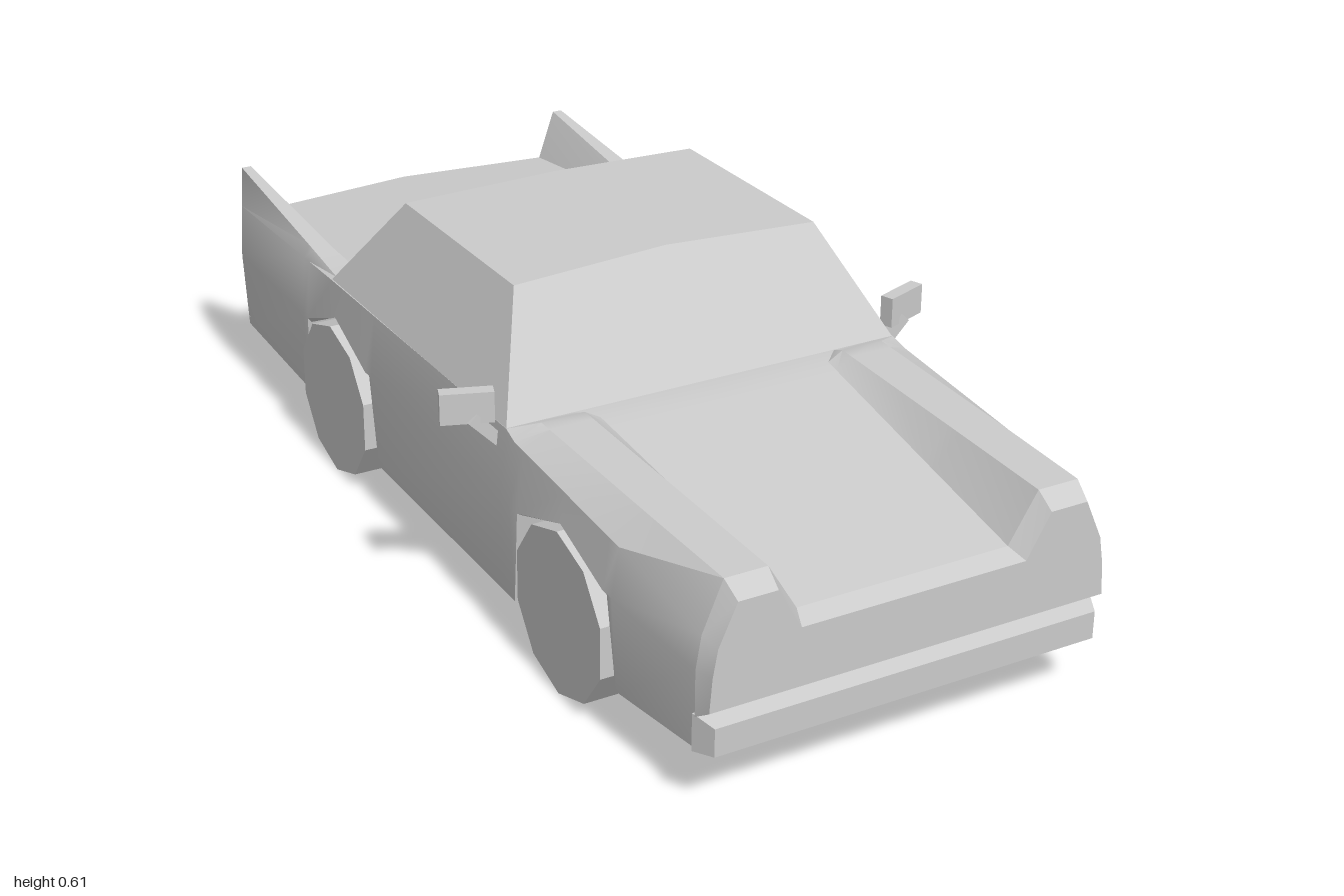
import * as THREE from 'three';
import { toCreasedNormals } from 'three/addons/utils/BufferGeometryUtils.js';
import { ConvexGeometry } from 'three/addons/geometries/ConvexGeometry.js';

const { lerp } = THREE.MathUtils;

// Lofts mirrored half-sections. Each section lists [x, y, z] from the bottom
// centre, round the +x side, to the top centre; sections run front to back.
function loft(sections, crease = 0.45) {
  const pos = [];
  const tri = (a, b, c) => pos.push(...a, ...b, ...c);
  const flip = ([x, y, z]) => [-x, y, z];
  const both = (a, b, c) => { tri(a, b, c); tri(flip(a), flip(c), flip(b)); };
  for (let i = 0; i + 1 < sections.length; i++) {
    const f = sections[i], r = sections[i + 1];
    for (let j = 0; j + 1 < f.length; j++) {
      both(f[j], r[j], f[j + 1]);
      both(f[j + 1], r[j], r[j + 1]);
    }
  }
  const cap = (s, back) => {
    const outline = s.map(p => new THREE.Vector2(p[0], p[1]));
    for (const [a, b, c] of THREE.ShapeUtils.triangulateShape(outline, [])) {
      if (back) both(s[a], s[c], s[b]); else both(s[a], s[b], s[c]);
    }
  };
  cap(sections[0], false);
  cap(sections[sections.length - 1], true);
  const g = new THREE.BufferGeometry();
  g.setAttribute('position', new THREE.Float32BufferAttribute(pos, 3));
  g.computeVertexNormals();
  return toCreasedNormals(g, crease);
}

// Linear lookup in rows [z, value] ordered from front to back
function lookup(rows, z, mix) {
  let i = 0;
  while (i < rows.length - 2 && z < rows[i + 1][0]) i++;
  const [a, b] = [rows[i], rows[i + 1]];
  return mix(a[1], b[1], THREE.MathUtils.clamp((z - a[0]) / (b[0] - a[0]), 0, 1));
}
const mixPoints = (a, b, t) => a.map((p, i) => [lerp(p[0], b[i][0], t), lerp(p[1], b[i][1], t)]);

// Waist, shoulder, fender outer, fender inner, hood/deck edge, centre
const upper = [
  [0.965, [[0.388, 0.25], [0.378, 0.31], [0.34, 0.4], [0.26, 0.4], [0.205, 0.31], [0, 0.31]]],
  [0.74, [[0.412, 0.27], [0.398, 0.36], [0.345, 0.406], [0.262, 0.406], [0.215, 0.345], [0, 0.345]]],
  [0.38, [[0.415, 0.27], [0.402, 0.39], [0.35, 0.415], [0.265, 0.415], [0.235, 0.398], [0, 0.398]]],
  [0.345, [[0.415, 0.27], [0.4, 0.4], [0.36, 0.4], [0.27, 0.4], [0.235, 0.4], [0, 0.4]]],
  [-0.41, [[0.41, 0.27], [0.4, 0.395], [0.39, 0.4], [0.345, 0.4], [0.34, 0.4], [0, 0.4]]],
  [-0.905, [[0.402, 0.27], [0.395, 0.38], [0.38, 0.455], [0.36, 0.455], [0.315, 0.36], [0, 0.36]]],
];
const floorLine = [[0.965, 0.1], [0.74, 0.092], [0.38, 0.08], [-0.21, 0.08], [-0.55, 0.098], [-0.905, 0.11]];
const sill = [
  [0.965, 0.1], [0.74, 0.092], [0.71, 0.26], [0.56, 0.32], [0.41, 0.265], [0.38, 0.08],
  [-0.21, 0.08], [-0.24, 0.265], [-0.39, 0.325], [-0.53, 0.26], [-0.555, 0.098], [-0.905, 0.11],
];

// One body section, with the wheel arch stepped up into its lower corner
function bodySection(z) {
  const low = lookup(floorLine, z, lerp);
  const arch = lookup(sill, z, lerp);
  const top = lookup(upper, z, mixPoints);
  const [wx, wy] = top[0];
  top[0] = [arch > wy ? wx - 0.004 : wx, Math.max(wy, arch)];
  return [[0, low], [0.3, low], [0.3, arch], [wx - 0.008, arch], ...top].map(p => [...p, z]);
}

export function createModel() {
  const car = new THREE.Group();
  car.name = 'car';
  const grey = new THREE.MeshStandardMaterial({ color: 0xcccccc });
  const flat = new THREE.MeshStandardMaterial({ color: 0xcccccc, flatShading: true });
  const add = (name, geometry, material = grey, parent = car) => {
    const mesh = new THREE.Mesh(geometry, material);
    mesh.name = name;
    parent.add(mesh);
    return mesh;
  };

  // Body shell: the tail bows out in the middle, the fins lean back
  const stations = [...new Set([...upper, ...sill].map(r => r[0]))].sort((a, b) => b - a);
  const shell = stations.map(bodySection);
  shell[shell.length - 1].forEach(p => {
    p[2] = p[1] > 0.42 ? -0.932 : -0.95 + 0.045 * p[0] / 0.4;
  });
  add('body', loft(shell));

  // Nose panel, undercut above the bumper
  const noseBack = [[0, 0.165], [0.388, 0.165], ...upper[0][1]].map(p => [...p, 0.965]);
  const noseFront = [[0, 0.188], [0.383, 0.188], [0.378, 0.25], [0.369, 0.3],
    [0.335, 0.375], [0.262, 0.375], [0.217, 0.296], [0, 0.296]].map(p => [...p, 1]);
  add('nosePanel', loft([noseFront, noseBack], 0.3));

  // Bumpers
  const bar = (w, y0, y1, zMid, zEnd) => [[0, y0, zMid], [w, y0, zEnd], [w, y1, zEnd], [0, y1, zMid]];
  add('frontBumper', loft([bar(0.372, 0.105, 0.157, 1, 1), bar(0.39, 0.1, 0.17, 0.96, 0.96)], 0.1));
  add('rearBumper', loft([bar(0.395, 0.122, 0.197, -0.9, -0.9), bar(0.375, 0.142, 0.18, -1, -0.953)], 0.1));

  // Cabin with a slightly crowned roof
  const cabin = [];
  for (const s of [-1, 1]) {
    cabin.push([s * 0.4, 0.398, 0.345], [s * 0.4, 0.398, -0.41], [s * 0.31, 0.595, 0.203], [s * 0.31, 0.595, -0.247]);
  }
  cabin.push([0, 0.607, 0.194], [0, 0.607, -0.236]);
  add('cabin', new ConvexGeometry(cabin.map(p => new THREE.Vector3(...p))), flat);

  // Ten-sided wheels with a flat at the bottom
  const wheelGeometry = new THREE.CylinderGeometry(0.157, 0.157, 0.101, 10);
  wheelGeometry.rotateY(Math.PI / 10).rotateZ(Math.PI / 2);
  const exhaustGeometry = loft([
    bar(0.03, 0.095, 0.11, -0.63, -0.63),
    bar(0.03, 0.063, 0.115, -0.735, -0.735),
    bar(0.03, 0.058, 0.112, -0.932, -0.932),
  ], 0.1);

  for (const s of [-1, 1]) {
    const side = s > 0 ? 'left' : 'right';
    for (const [end, z] of [['Front', 0.56], ['Rear', -0.393]]) {
      add(`${side}${end}Wheel`, wheelGeometry, flat).position.set(s * 0.366, 0.15, z);
    }
    add(`${side}Exhaust`, exhaustGeometry).position.x = s * 0.245;

    // Door mirror on a slanted stalk
    const mirror = new THREE.Group();
    mirror.name = `${side}Mirror`;
    car.add(mirror);
    const head = add('mirrorHead', new THREE.BoxGeometry(0.095, 0.058, 0.026), grey, mirror);
    head.position.set(s * 0.451, 0.435, 0.296);
    head.rotation.y = s * 0.35;
    const stalk = add('mirrorStalk', new THREE.BoxGeometry(0.09, 0.022, 0.022), grey, mirror);
    stalk.position.set(s * 0.417, 0.384, 0.305);
    stalk.rotation.z = s * 0.8;
  }
  return car;
}
